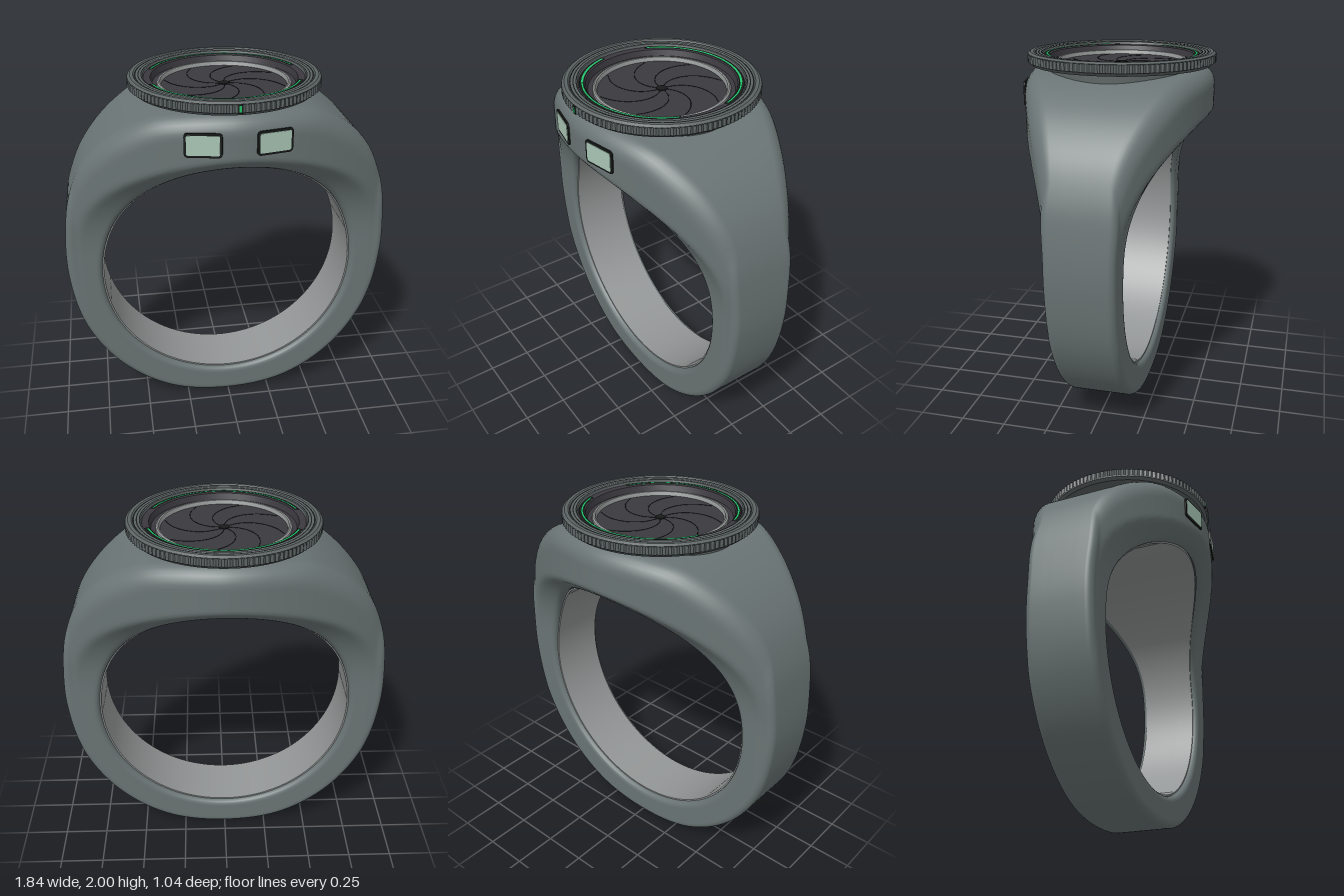
import * as THREE from 'three';
import { toCreasedNormals } from 'three/addons/utils/BufferGeometryUtils.js';

const paint = (name, color) => {
  const m = new THREE.MeshStandardMaterial({ color });
  m.name = name;
  return m;
};
const MAT = {
  body: paint('gunmetal', 0x6a7474),
  liner: paint('satin grey', 0x949797),
  bezel: paint('bezel grey', 0x5c6363),
  black: paint('black', 0x181a1a),
  iris: paint('charcoal', 0x3b393f),
  green: paint('glow green', 0x22c46c),
  glass: paint('pale green', 0xa9c6b5),
};

const CY = 0.895;      // centre height of the finger hole
const HOLE = 0.715;    // hole radius

// Half width of the band: plan outline and side outline, blended at their meeting
function halfWidth(x, y) {
  const plan = Math.max(0.197, 0.515 - 0.42 * Math.abs(x) ** 1.7);
  const side = 0.19 + 0.866 * Math.max(0, y - 1) ** 2.6;
  const k = 0.02, h = Math.max(k - Math.abs(plan - side), 0) / k;
  return Math.min(plan, side) - h * h * k * 0.25;
}

// Outer silhouette, counter-clockwise from the bottom
function outerLoop(n) {
  const half = [[0.35, 0.058], [0.64, 0.255], [0.84, 0.56], [0.915, 0.92], [0.9, 1.25], [0.87, 1.4],
    [0.8, 1.57], [0.7, 1.7], [0.58, 1.8], [0.43, 1.88], [0.25, 1.913]];
  const pts = [[0, 0], ...half, [0, 1.925], ...half.slice().reverse().map(([x, y]) => [-x, y])];
  const curve = new THREE.CatmullRomCurve3(pts.map(([x, y]) => new THREE.Vector3(x, y, 0)), true);
  return curve.getSpacedPoints(n).slice(0, n);
}

// Sweep a cross-section, given as [radius, z] pairs per direction, round the hole
function sweep(section, n = 200) {
  const pos = [], idx = [];
  let m = 0;
  outerLoop(n).forEach((p) => {
    const R = Math.hypot(p.x, p.y - CY), dx = p.x / R, dy = (p.y - CY) / R;
    const width = (r) => halfWidth(dx * r, CY + dy * r);
    const s = section(R, width, p.y);
    m = s.length;
    s.forEach(([r, z]) => pos.push(dx * r, CY + dy * r, z));
  });
  for (let i = 0; i < n; i++) {
    for (let j = 0; j < m - 1; j++) {
      const a = i * m + j, b = ((i + 1) % n) * m + j;
      idx.push(a, a + 1, b, a + 1, b + 1, b);
    }
  }
  const g = new THREE.BufferGeometry();
  g.setAttribute('position', new THREE.Float32BufferAttribute(pos, 3));
  g.setIndex(idx);
  g.computeVertexNormals();
  return g;
}

function bandSection(R, width, y) {
  const fillet = 0.04 + 0.06 * THREE.MathUtils.smoothstep(y, 1.3, 1.9);
  const ri = 0.03, r0 = HOLE + 0.008, half = [];
  for (let i = 0; i <= 4; i++) {                       // inner rounding
    const a = (i / 4) * Math.PI / 2, r = r0 + ri * (1 - Math.cos(a));
    half.push([r, width(r) - ri * (1 - Math.sin(a))]);
  }
  for (let i = 1; i < 12; i++) {                       // flank
    const r = THREE.MathUtils.lerp(r0 + ri, R - fillet, i / 12);
    half.push([r, width(r)]);
  }
  for (let i = 0; i <= 7; i++) {                       // outer rounding
    const a = (i / 7) * Math.PI / 2, r = R - fillet * (1 - Math.sin(a));
    half.push([r, width(r) - fillet * (1 - Math.cos(a))]);
  }
  const edge = half[half.length - 1][1];
  half.push([R, edge * 0.6], [R, edge * 0.2]);
  return [...half, ...half.slice().reverse().map(([r, z]) => [r, -z])];
}

function linerSection(R, width) {
  const w = width(HOLE) - 0.028;
  return [[HOLE + 0.016, -w], [HOLE, -w], [HOLE, -w / 3], [HOLE, w / 3], [HOLE, w], [HOLE + 0.016, w]];
}

export function createModel() {
  const model = new THREE.Group();
  const add = (name, geo, mat, parent = model) => {
    const mesh = new THREE.Mesh(geo, mat);
    mesh.name = name;
    parent.add(mesh);
    return mesh;
  };
  const lathe = (name, pts, mat, parent) => add(name,
    toCreasedNormals(new THREE.LatheGeometry(pts.map(([r, y]) => new THREE.Vector2(r, y)), 96), 0.5), mat, parent);

  add('band', sweep(bandSection), MAT.body);
  add('innerLiner', toCreasedNormals(sweep(linerSection), 0.6), MAT.liner);

  // Round head on top
  const head = new THREE.Group();
  head.name = 'head';
  model.add(head);
  lathe('neck', [[0.43, 1.8], [0.43, 1.935]], MAT.bezel, head);
  lathe('bezel', [[0.4, 1.928], [0.495, 1.928], [0.51, 1.945], [0.51, 1.988], [0.517, 1.99],
    [0.503, 2.0], [0.485, 2.0], [0.478, 1.993], [0.435, 1.993], [0.43, 1.978]], MAT.bezel, head);
  lathe('dialSlope', [[0.432, 1.98], [0.395, 1.978], [0.385, 1.945], [0.355, 1.94]], MAT.iris, head);
  lathe('irisRing', [[0.362, 1.935], [0.36, 1.953], [0.352, 1.958], [0.344, 1.956], [0.336, 1.93]], MAT.liner, head);

  // Knurled edge: every second column of vertices pushed out
  const knurl = new THREE.CylinderGeometry(0.513, 0.513, 0.042, 240, 1, true).toNonIndexed();
  const kp = knurl.attributes.position;
  for (let i = 0; i < kp.count; i++) {
    const a = Math.atan2(kp.getX(i), kp.getZ(i));
    const step = Math.round(a / (Math.PI * 2) * 240);
    const s = (step & 1) ? 1.014 : 1.0;
    kp.setXYZ(i, kp.getX(i) * s, kp.getY(i), kp.getZ(i) * s);
  }
  knurl.computeVertexNormals();
  add('knurledEdge', knurl, MAT.bezel, head).position.y = 1.967;

  // Grooves and light arcs lying flat on the head
  const flatRing = (name, r0, r1, y, mat, start = 0, sweepAngle = Math.PI * 2) => {
    const g = new THREE.RingGeometry(r0, r1, 96, 1, start, sweepAngle);
    g.rotateX(-Math.PI / 2);
    g.translate(0, y, 0);
    return add(name, g, mat, head);
  };
  [0.474, 0.458, 0.442].forEach((r) => flatRing('groove', r - 0.003, r + 0.003, 1.9945, MAT.black));
  [[0.3, 2.44], [Math.PI + 0.3, 2.44]].forEach(([start, arc]) => {
    flatRing('lightChannel', 0.4, 0.428, 1.983, MAT.black, start - 0.03, arc + 0.06);
    flatRing('lightArc', 0.406, 0.417, 1.986, MAT.green, start, arc);
  });

  // Iris shutter with curved blade seams
  const disc = new THREE.CircleGeometry(0.342, 96).rotateX(-Math.PI / 2);
  add('irisDisc', disc, MAT.iris, head).position.y = 1.935;
  add('irisHub', new THREE.CylinderGeometry(0.03, 0.03, 0.006, 8), MAT.black, head).position.y = 1.937;
  for (let b = 0; b < 8; b++) {
    const pts = [];
    for (let i = 0; i <= 6; i++) {
      const r = 0.03 + 0.3 * i / 6, a = b * Math.PI / 4 + 1.1 * (r / 0.33) ** 1.3;
      pts.push(new THREE.Vector3(r * Math.cos(a), 1.935, r * Math.sin(a)));
    }
    add('bladeSeam', new THREE.TubeGeometry(new THREE.CatmullRomCurve3(pts), 20, 0.002, 4), MAT.black, head);
  }

  // Index mark on the front of the edge
  const mark = new THREE.Group();
  mark.name = 'indexMark';
  head.add(mark);
  add('markFrame', new THREE.BoxGeometry(0.024, 0.044, 0.008), MAT.black, mark).position.set(0, 1.967, 0.518);
  add('markLight', new THREE.BoxGeometry(0.012, 0.032, 0.006), MAT.green, mark).position.set(0, 1.967, 0.521);

  // Two framed windows on the front
  const roundRect = (w, h, r) => {
    const s = new THREE.Shape(), x = w / 2, y = h / 2;
    s.moveTo(-x + r, -y).lineTo(x - r, -y).quadraticCurveTo(x, -y, x, -y + r);
    s.lineTo(x, y - r).quadraticCurveTo(x, y, x - r, y).lineTo(-x + r, y);
    s.quadraticCurveTo(-x, y, -x, y - r).lineTo(-x, -y + r).quadraticCurveTo(-x, -y, -x + r, -y);
    return s;
  };
  const plate = (w, h, r, depth) => new THREE.ExtrudeGeometry(roundRect(w, h, r), { depth, bevelEnabled: false });
  for (const side of [-1, 1]) {
    const win = new THREE.Group();
    win.name = side > 0 ? 'leftWindow' : 'rightWindow';
    win.position.set(side * 0.18, 1.782, 0.4925);
    win.rotation.y = side * 0.2;
    model.add(win);
    add('windowFrame', plate(0.192, 0.128, 0.022, 0.008), MAT.black, win);
    add('windowPane', plate(0.168, 0.104, 0.01, 0.003), MAT.glass, win).position.z = 0.008;
  }
  return model;
}
